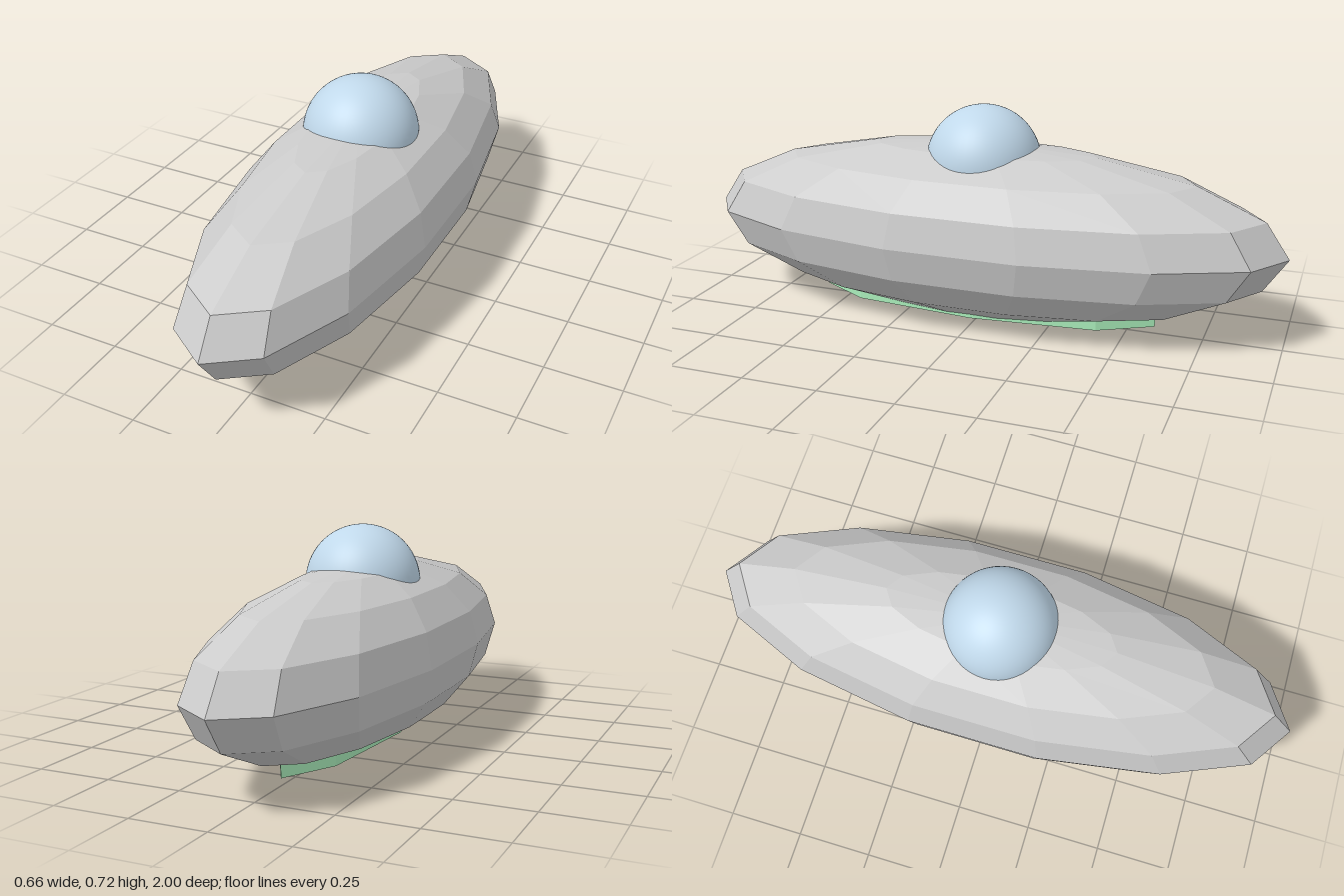
import * as THREE from 'three';

// Low-poly or smooth ellipsoid with a vertex column on the z axis
function ellipsoid(name, color, [rx, ry, rz], y, columns, rows, flatShading, thetaLength = Math.PI) {
  const geometry = new THREE.SphereGeometry(1, columns, rows, 0, Math.PI * 2, 0, thetaLength);
  geometry.rotateY(Math.PI / 2).scale(rx, ry, rz);
  const material = new THREE.MeshStandardMaterial({ color, flatShading });
  const mesh = new THREE.Mesh(geometry, material);
  mesh.name = name;
  mesh.position.y = y;
  return mesh;
}

export function createModel() {
  const group = new THREE.Group();
  group.name = 'saucer';
  group.add(
    // Long faceted body
    ellipsoid('hull', 0xcccccc, [0.339, 0.294, 1], 0.302, 14, 8, true),
    // Smooth dome sunk into the top of the hull
    ellipsoid('dome', 0xc0d8ea, [0.19, 0.19, 0.19], 0.528, 48, 20, false, Math.PI / 2),
    // Shallow eight-sided plate under the hull
    ellipsoid('bellyPlate', 0xaaeebb, [0.158, 0.046, 0.684], 0.046, 8, 3, true),
  );
  return group;
}
